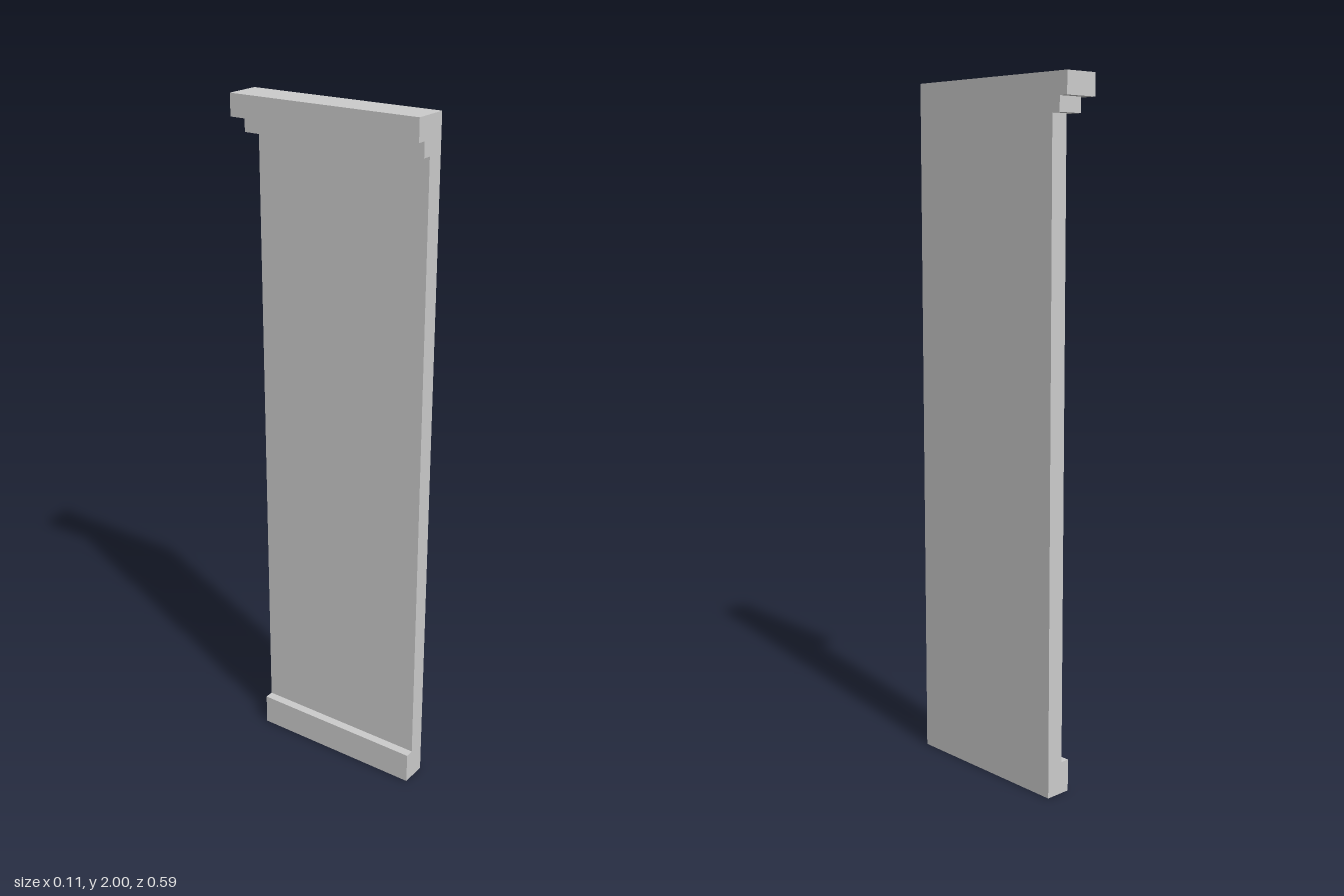
import * as THREE from 'three';

const RIGHT = 0.0525;  // flat outer side of the panel
const FRONT = 0.294;   // flush front end

export function createModel() {
  const group = new THREE.Group();
  const material = new THREE.MeshStandardMaterial({ color: 0xcccccc });

  // Box given by its low and high corners
  const addBox = (name, [x0, y0, z0], [x1, y1, z1]) => {
    const geometry = new THREE.BoxGeometry(x1 - x0, y1 - y0, z1 - z0);
    const mesh = new THREE.Mesh(geometry, material);
    mesh.position.set((x0 + x1) / 2, (y0 + y1) / 2, (z0 + z1) / 2);
    mesh.name = name;
    group.add(mesh);
  };

  // Tall upright panel
  addBox('panel', [0, 0, -0.241], [RIGHT, 1.896, FRONT]);

  // Skirting along the foot of the inner side
  addBox('skirting', [-0.0265, 0, -0.241], [0, 0.094, FRONT]);

  // Stepped cornice, overhanging the inner side and the back
  addBox('corniceStep', [-0.0265, 1.896, -0.2675], [RIGHT, 1.938, FRONT]);
  addBox('corniceTop', [-0.0525, 1.938, -0.294], [RIGHT, 2, FRONT]);

  return group;
}
